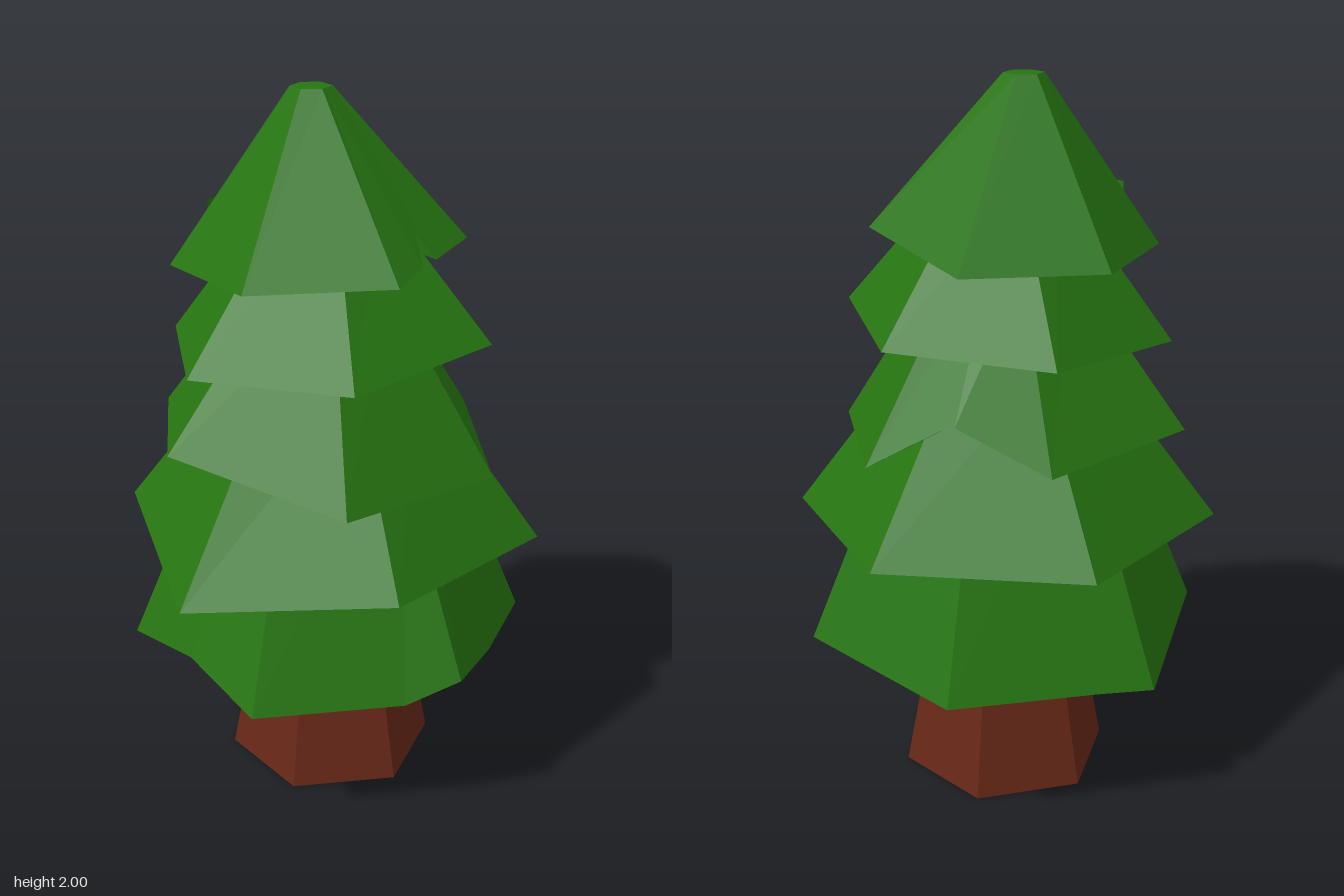
import * as THREE from 'three';

const green = new THREE.MeshStandardMaterial({ color: 0x267511, flatShading: true });
const brown = new THREE.MeshStandardMaterial({ color: 0x682818, flatShading: true });

// Six-sided skirt: rim corners [x, y, z, spread] run clockwise seen from above and
// shrink by `k` (times spread) towards the top centre. The underside is a lip
// around an upright-walled hollow.
function makeTier(name, { rim, top, k, lip = 0.72, depth = 0.13 }) {
  const centre = new THREE.Vector3(...top);
  const lower = rim.map(([x, y, z]) => new THREE.Vector3(x, y, z));
  const mean = lower.reduce((sum, p) => sum + p.y, 0) / lower.length;
  const ring = (scale, height) => lower.map((p, i) => {
    const s = scale * (rim[i][3] ?? 1);
    return p.clone().lerp(centre, 1 - s).setY(height(p));
  });
  const upper = ring(k, () => centre.y);
  const lipRing = ring(lip, (p) => p.y + 0.02);
  const roofRing = ring(lip, () => mean + depth);
  const roof = new THREE.Vector3(centre.x, mean + depth, centre.z);
  const points = [];
  const quad = (a, b, A, B) => points.push(a, A, b, A, B, b);
  lower.forEach((a, i) => {
    const j = (i + 1) % lower.length;
    quad(a, lower[j], upper[i], upper[j]); // sloping side
    points.push(centre, upper[j], upper[i]); // top cap
    quad(lipRing[i], lipRing[j], a, lower[j]); // lip
    quad(roofRing[i], roofRing[j], lipRing[i], lipRing[j]); // hollow wall
    points.push(roof, roofRing[i], roofRing[j]); // hollow roof
  });
  const geometry = new THREE.BufferGeometry().setFromPoints(points);
  geometry.computeVertexNormals();
  const mesh = new THREE.Mesh(geometry, green);
  mesh.name = name;
  return mesh;
}

const tiers = {
  bottomBranches: {
    top: [0, 1.05, 0], k: 0.55,
    rim: [[0, 0.43, -0.57], [0.49, 0.43, -0.29], [0.49, 0.43, 0], [0.49, 0.49, 0.28], [0.36, 0.43, 0.36],
      [0, 0.43, 0.57], [-0.25, 0.48, 0.425], [-0.5, 0.43, 0.28], [-0.5, 0.41, -0.29], [-0.36, 0.42, -0.37]],
  },
  lowerBranches: {
    top: [0, 1.25, 0], k: 0.4,
    rim: [[0.21, 0.79, -0.55], [0.59, 0.77, -0.09], [0.37, 0.79, 0.46],
      [-0.21, 0.7, 0.555], [-0.59, 0.78, 0.09], [-0.37, 0.79, -0.46]],
  },
  middleBranches: {
    top: [0, 1.5, 0.02], k: 0.35,
    // the back edge is raised and stepped in its middle
    rim: [[-0.24, 1.05, -0.42], [0.02, 1.16, -0.41], [0.025, 1.16, -0.37], [0.27, 1.02, -0.4],
      [0.49, 1.0, 0.05], [0.23, 1.01, 0.47], [-0.28, 1.1, 0.45], [-0.51, 1.06, 0]],
  },
  upperBranches: {
    top: [0, 1.73, 0.01], k: 0.3,
    rim: [[0.22, 1.34, -0.39], [0.46, 1.36, 0.01], [0.23, 1.33, 0.42],
      [-0.23, 1.31, 0.42], [-0.46, 1.3, 0.03], [-0.24, 1.32, -0.38]],
  },
  topBranches: {
    top: [-0.05, 2, 0.015], k: 0.14,
    // a V-shaped notch cuts the side edge
    rim: [[0.02, 1.54, -0.37], [0.34, 1.6, -0.13], [0.316, 1.59, 0.06], [0.254, 1.67, 0.06, 1.2],
      [0.306, 1.59, 0.14], [0.29, 1.57, 0.27], [-0.07, 1.555, 0.42], [-0.39, 1.53, 0.18], [-0.34, 1.54, -0.22]],
  },
};

export function createModel() {
  const tree = new THREE.Group();
  tree.name = 'pineTree';

  // tapered hexagonal trunk
  const trunk = new THREE.Mesh(new THREE.CylinderGeometry(0.177, 0.3, 0.65, 6), brown);
  trunk.name = 'trunk';
  trunk.position.set(-0.01, 0.325, -0.03);
  tree.add(trunk);

  // stacked branch tiers
  for (const [name, tier] of Object.entries(tiers)) tree.add(makeTier(name, tier));
  return tree;
}
